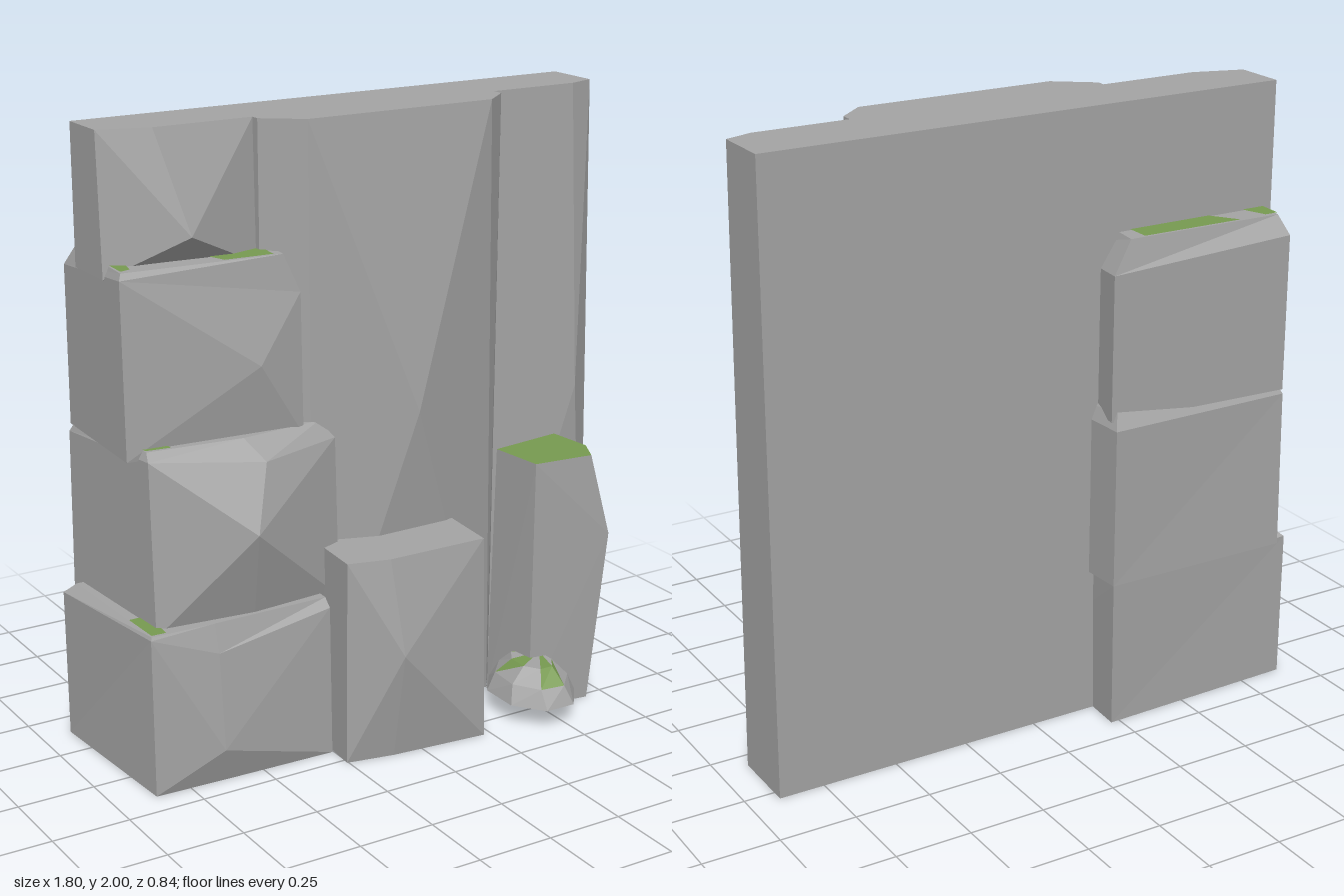
import * as THREE from 'three';

const stone = new THREE.MeshStandardMaterial({ color: 0xa3a3a3 });
stone.name = 'stone grey';
const moss = new THREE.MeshStandardMaterial({ color: 0x779a50 });
moss.name = 'moss green';

// ring of [x, z, y?] points, anticlockwise from above, at a default height
const ring = (y, pts) => pts.map(([x, z, h = y]) => [x, h, z]);

// Faceted solid through stacked rings. The first `span` sides of the lowest
// band fan around a bulging apex; isMossy(i) picks the green triangles.
function block(name, rings, { apex, span = 0, isMossy = () => false } = {}) {
  const tris = [];
  const n = rings[0].length;
  const fan = (p) => { for (let i = 1; i < p.length - 1; i++) tris.push([p[0], p[i], p[i + 1]]); };
  fan([...rings[0]].reverse());
  for (let r = 0; r < rings.length - 1; r++) {
    const [lo, hi] = [rings[r], rings[r + 1]];
    const start = r === 0 && apex ? span : 0;
    for (let i = start; i < n; i++) {
      const j = (i + 1) % n;
      fan([lo[i], lo[j], hi[j], hi[i]]);
    }
    if (start) {
      const loop = [...lo.slice(0, span + 1), ...hi.slice(0, span + 1).reverse()];
      loop.forEach((p, i) => tris.push([apex, p, loop[(i + 1) % loop.length]]));
    }
  }
  const capStart = tris.length;
  fan(rings[rings.length - 1]);

  const group = new THREE.Group();
  group.name = name;
  for (const [label, mat, green] of [['Stone', stone, false], ['Moss', moss, true]]) {
    const part = tris.filter((t, i) => isMossy(i, capStart) === green);
    if (!part.length) continue;
    const geo = new THREE.BufferGeometry();
    geo.setAttribute('position', new THREE.Float32BufferAttribute(part.flat(2), 3));
    geo.computeVertexNormals();
    const mesh = new THREE.Mesh(geo, mat);
    mesh.name = name + label;
    group.add(mesh);
  }
  return group;
}

// Flat moss patch lying on a ledge
function patch(name, y, pts) {
  const shape = new THREE.Shape(pts.map(([x, z]) => new THREE.Vector2(x, -z)));
  const mesh = new THREE.Mesh(new THREE.ShapeGeometry(shape).rotateX(-Math.PI / 2), moss);
  mesh.position.y = y + 0.003;
  mesh.name = name;
  return mesh;
}

export function createModel() {
  const model = new THREE.Group();
  model.name = 'rockWall';

  // Cliff slab in three panels
  model.add(
    block('centrePanel', [
      ring(0, [[-0.25, 0.05], [0.44, 0.03], [0.5, -0.05], [0.5, -0.29], [-0.37, -0.29], [-0.37, -0.04]]),
      ring(2, [[-0.25, 0.05], [0.41, 0.05], [0.5, -0.03], [0.5, -0.29], [-0.37, -0.29], [-0.37, -0.04]]),
    ], { apex: [0.08, 1.07, 0.16], span: 1 }),
    block('leftSidePanel', [
      ring(0, [[0.5, -0.06], [0.7, -0.06], [0.9, -0.06], [0.9, -0.29], [0.5, -0.29]]),
      ring(2, [[0.5, -0.07], [0.81, -0.07], [0.9, -0.1], [0.9, -0.29], [0.5, -0.29]]),
    ], { apex: [0.8, 1.0, 0], span: 2 }),
    block('rightSidePanel', [
      ring(1.56, [[-0.86, -0.1], [-0.7, -0.09], [-0.37, -0.06], [-0.37, -0.29], [-0.86, -0.29]]),
      ring(2, [[-0.86, -0.12], [-0.7, -0.07], [-0.37, -0.07], [-0.37, -0.29], [-0.86, -0.29]]),
    ], { apex: [-0.62, 1.68, 0.01], span: 2 }),
  );

  // Stacked boulders
  model.add(
    block('upperBoulder', [
      ring(1.03, [[-0.86, 0.02], [-0.28, 0.06], [-0.21, -0.39], [-0.84, -0.42]]),
      ring(1.54, [[-0.86, 0.01, 1.58], [-0.28, 0.05, 1.48], [-0.21, -0.39, 1.5], [-0.84, -0.42]]),
      ring(1.6, [[-0.85, 0], [-0.33, 0.035], [-0.28, -0.37], [-0.82, -0.38]]),
    ], { apex: [-0.44, 1.28, 0.09], span: 1 }),
    block('middleBoulder', [
      ring(0.49, [[-0.82, 0.1], [-0.5, 0.13], [-0.18, 0.1], [-0.21, -0.42], [-0.85, -0.42]]),
      ring(1.01, [[-0.82, 0.08, 1.04], [-0.46, 0.15, 1.0], [-0.18, 0.08], [-0.21, -0.42], [-0.85, -0.41]]),
      ring(1.063, [[-0.81, 0.05], [-0.5, 0.08], [-0.22, 0.05], [-0.23, -0.39], [-0.83, -0.38]]),
    ], { apex: [-0.53, 0.8, 0.225], span: 2 }),
    block('lowerBoulder', [
      ring(0, [[-0.865, 0.16], [-0.6, 0.17], [-0.255, 0.18], [-0.22, -0.41], [-0.9, -0.39]]),
      ring(0.49, [[-0.865, 0.155, 0.51], [-0.65, 0.18, 0.43], [-0.255, 0.17], [-0.21, -0.42], [-0.905, -0.385]]),
      ring(0.52, [[-0.86, 0.15], [-0.65, 0.155], [-0.26, 0.15], [-0.23, -0.39], [-0.87, -0.36]]),
    ], { apex: [-0.65, 0.12, 0.21], span: 2 }),
  );

  // Moss on the boulder ledges
  model.add(
    patch('upperMoss', 1.6, [[-0.68, -0.375], [-0.33, -0.37], [-0.33, -0.29], [-0.36, 0.03], [-0.52, 0.02], [-0.62, -0.29]]),
    patch('upperCornerMoss', 1.6, [[-0.825, -0.37], [-0.78, -0.37], [-0.75, -0.29], [-0.81, -0.02], [-0.845, -0.01]]),
    patch('middleMoss', 1.063, [[-0.81, 0.045], [-0.82, -0.1], [-0.74, -0.1], [-0.73, 0.055]]),
    patch('lowerMoss', 0.52, [[-0.858, 0.145], [-0.862, 0], [-0.8, 0], [-0.81, 0.147]]),
  );

  // Front blocks at the foot of the wall
  model.add(
    block('frontBlock', [
      ring(0, [[-0.255, 0.27], [-0.1, 0.3], [0.225, 0.33], [0.25, 0], [-0.235, 0]]),
      ring(0.67, [[-0.255, 0.275], [-0.12, 0.31], [0.225, 0.31], [0.25, 0], [-0.235, 0]]),
    ], { apex: [-0.1, 0.36, 0.365], span: 2 }),
    block('mossyPillar', [
      ring(0, [[0.465, 0.24], [0.68, 0.27], [0.725, 0.2], [0.725, 0.02], [0.435, 0.04]]),
      ring(0.855, [[0.465, 0.25], [0.67, 0.27], [0.715, 0.18], [0.7, 0.025], [0.445, 0.06]]),
    ], { apex: [0.735, 0.58, 0.29], span: 2, isMossy: (i, cap) => i >= cap }),
  );

  // Small domed stone
  const oval = (y, rx, rz, turn) => ring(y, Array.from({ length: 8 }, (_, i) => {
    const a = (i / 8) * Math.PI * 2 + turn;
    return [0.465 + rx * Math.cos(a), 0.25 - rz * Math.sin(a)];
  }));
  model.add(block('smallStone', [
    oval(0.07, 0.137, 0.18, 0.39), oval(0.13, 0.11, 0.145, 0.3), oval(0.18, 0.06, 0.09, 0.39),
  ], { isMossy: (i, cap) => [24, 25, 29, 32, 33, 35].includes(i) || (i >= cap && i % 2 === 0) }));

  return model;
}
